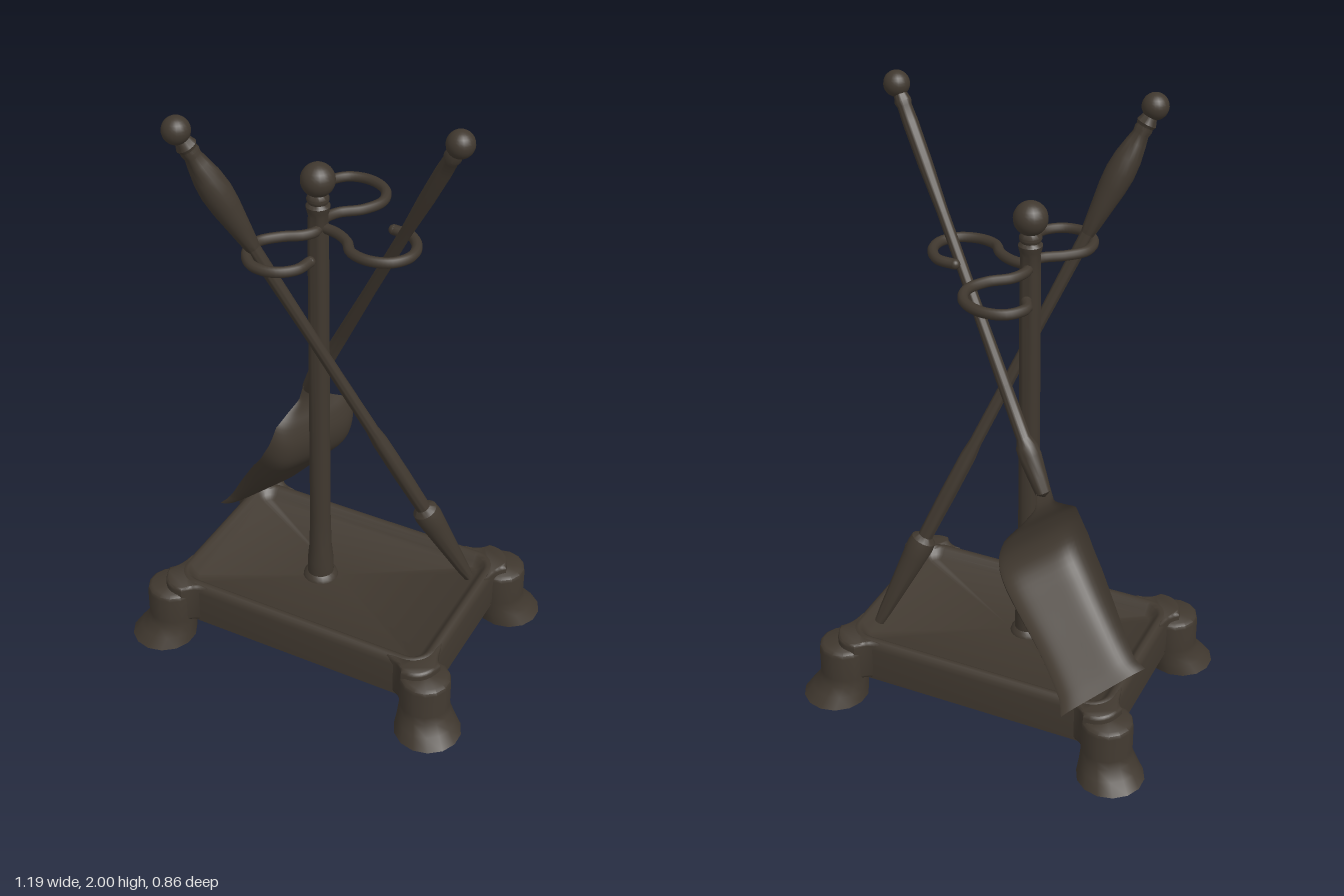
import * as THREE from 'three';
import { toCreasedNormals } from 'three/addons/utils/BufferGeometryUtils.js';

const iron = new THREE.MeshStandardMaterial({ color: 0x40382f, side: THREE.DoubleSide });
iron.name = 'darkIron';

const V = (x, y, z) => new THREE.Vector3(x, y, z);

function part(name, geometry, parent) {
  const mesh = new THREE.Mesh(geometry, iron);
  mesh.name = name;
  parent.add(mesh);
  return mesh;
}

// Turned part: profile is [radius, height] pairs from bottom to top
function turned(profile, sides = 20) {
  const pts = profile.map(([r, y]) => new THREE.Vector2(r, y));
  return toCreasedNormals(new THREE.LatheGeometry(pts, sides), 0.7);
}

// Turned part laid along a line starting at one point and heading to another
function turnedAlong(name, profile, from, to, parent) {
  const mesh = part(name, turned(profile), parent);
  mesh.position.copy(from);
  mesh.quaternion.setFromUnitVectors(V(0, 1, 0), to.clone().sub(from).normalize());
}

function ball(name, radius, at, parent) {
  part(name, new THREE.SphereGeometry(radius, 20, 14), parent).position.copy(at);
}

// Point list around a rounded rectangle shrunk by an inset
function ringPoints(inset) {
  const w = 0.47 - inset, d = 0.306 - inset, r = Math.max(0.09 - inset, 0.02);
  const pts = [];
  [[1, 1], [-1, 1], [-1, -1], [1, -1]].forEach(([sx, sz], q) => {
    for (let i = 0; i <= 8; i++) {
      const a = (q + i / 8) * Math.PI / 2;
      pts.push([sx * (w - r) + r * Math.cos(a), sz * (d - r) + r * Math.sin(a)]);
    }
  });
  pts.push(pts[0]);
  return pts;
}

// Cast tray: one [inset, height] profile swept around the rounded rectangle
function trayGeometry() {
  const profile = [
    [0.306, 0.172], [0.025, 0.172], [0.022, 0.08], [0, 0.08], [0, 0.2], [0.004, 0.215], [0.014, 0.226],
    [0.026, 0.228], [0.036, 0.222], [0.046, 0.204], [0.062, 0.192], [0.306, 0.19],
  ];
  const cols = ringPoints(0).length - 1;
  const geo = new THREE.PlaneGeometry(1, 1, cols, profile.length - 1);
  const p = geo.attributes.position;
  profile.forEach(([inset, y], row) => {
    ringPoints(Math.min(inset, 0.28)).forEach(([x, z], col) => {
      const flat = inset > 0.3 ? 0 : 1;
      p.setXYZ(row * (cols + 1) + col, x * flat, y, z * flat);
    });
  });
  return toCreasedNormals(geo, 0.75);
}

function buildBase(group) {
  const base = new THREE.Group();
  base.name = 'base';
  group.add(base);
  part('tray', trayGeometry(), base);

  for (const sx of [-1, 1]) for (const sz of [-1, 1]) {
    // Hollow foot flares outwards as it nears the ground
    const foot = new THREE.LatheGeometry([
      [0.108, 0], [0.094, 0.035], [0.084, 0.065], [0.082, 0.09],
      [0.082, 0.18], [0.079, 0.192], [0.068, 0.2], [0, 0.2],
    ].map(([r, y]) => new THREE.Vector2(r, y)), 14);
    const p = foot.attributes.position;
    for (let i = 0; i < p.count; i++) {
      const k = 0.025 * Math.max(0, 1 - p.getY(i) / 0.075);
      p.setXYZ(i, p.getX(i) + sx * k, p.getY(i), p.getZ(i) + sz * k);
    }
    part('foot', toCreasedNormals(foot, 0.7), base).position.set(sx * 0.465, 0, sz * 0.297);

    // Shoulder blending the tray corner into the foot
    const shoulder = new THREE.Shape();
    shoulder.moveTo(0.335, 0.296);
    shoulder.quadraticCurveTo(0.385, 0.3, 0.405, 0.338);
    shoulder.quadraticCurveTo(0.475, 0.345, 0.492, 0.262);
    shoulder.quadraticCurveTo(0.462, 0.235, 0.46, 0.175);
    shoulder.quadraticCurveTo(0.455, 0.285, 0.335, 0.296);
    const geo = new THREE.ExtrudeGeometry(shoulder, {
      depth: 0.12, bevelThickness: 0.012, bevelSize: 0.006, bevelSegments: 2, curveSegments: 8,
    });
    geo.rotateX(-Math.PI / 2).translate(0, 0.094, 0);
    part('footShoulder', toCreasedNormals(geo, 0.9), base).scale.set(sx, 1, -sz);
  }
}

function buildStand(group) {
  const stand = new THREE.Group();
  stand.name = 'stand';
  group.add(stand);

  const post = part('post', turned([
    [0, 0.165], [0.03, 0.165], [0.03, 0.18], [0.058, 0.19], [0.055, 0.2], [0.044, 0.21], [0.043, 0.26],
    [0.037, 0.32], [0.034, 0.45], [0.032, 1.5], [0.03, 1.56], [0.034, 1.575], [0.037, 1.59],
    [0.03, 1.6], [0.034, 1.61], [0.034, 1.617], [0.025, 1.63], [0, 1.65],
  ]), stand);
  post.position.set(-0.055, 0, 0.018);
  ball('postFinial', 0.052, V(-0.055, 1.673, 0.018), stand);

  // Three curling hooks as [x, z] paths ending at the post
  const hooks = [
    [[-0.14, -0.2], [-0.157, -0.24], [-0.12, -0.295], [-0.05, -0.307], [0.02, -0.27],
      [0.046, -0.2], [0.015, -0.13], [-0.04, -0.08], [-0.06, -0.03], [-0.055, 0.018]],
    [[0.15, -0.064], [0.21, -0.055], [0.255, 0], [0.26, 0.06], [0.225, 0.11],
      [0.16, 0.128], [0.1, 0.11], [0.06, 0.06], [0.01, 0.03], [-0.055, 0.018]],
    [[0.022, 0.21], [0.01, 0.265], [-0.04, 0.307], [-0.11, 0.305], [-0.16, 0.25],
      [-0.165, 0.18], [-0.12, 0.125], [-0.065, 0.085], [-0.045, 0.05], [-0.055, 0.018]],
  ];
  for (const path of hooks) {
    const curve = new THREE.CatmullRomCurve3(path.map(([x, z]) => V(x, 1.522, z)));
    part('hook', new THREE.TubeGeometry(curve, 48, 0.016, 10), stand);
    ball('hookEnd', 0.016, V(path[0][0], 1.522, path[0][1]), stand);
  }
}

function buildPoker(group) {
  const poker = new THREE.Group();
  poker.name = 'poker';
  group.add(poker);
  const top = V(-0.293, 1.928, 0.372), tip = V(0.4, 0.21, -0.175);
  ball('pokerKnob', 0.041, top, poker);
  turnedAlong('pokerHandle', [
    [0.02, 0.02], [0.025, 0.04], [0.031, 0.055], [0.026, 0.065], [0.028, 0.075], [0.025, 0.09],
    [0.032, 0.12], [0.042, 0.17], [0.046, 0.22], [0.043, 0.27], [0.034, 0.34], [0.025, 0.41], [0.021, 0.43],
  ], top, tip, poker);
  turnedAlong('pokerShaft', [
    [0.021, 0.42], [0.018, 0.8], [0.02, 1.2], [0.025, 1.25], [0.026, 1.4], [0.024, 1.58],
  ], top, tip, poker);
  turnedAlong('pokerTip', [
    [0.024, 1.57], [0.041, 1.585], [0.044, 1.61], [0.041, 1.65], [0.022, 1.88], [0.016, 1.93], [0, 1.935],
  ], top, tip, poker);
}

function buildShovel(group) {
  const shovel = new THREE.Group();
  shovel.name = 'shovel';
  group.add(shovel);
  const top = V(0.44, 1.96, 0.152), neck = V(-0.153, 0.85, -0.108);
  ball('shovelKnob', 0.04, top, shovel);
  turnedAlong('shovelShaft', [
    [0.018, 0.02], [0.022, 0.04], [0.026, 0.055], [0.022, 0.07], [0.024, 0.12], [0.023, 0.25],
    [0.018, 0.4], [0.018, 0.7], [0.021, 0.95], [0.023, 1.12], [0.034, 1.15], [0.036, 1.18],
    [0.03, 1.25], [0.025, 1.3], [0, 1.315],
  ], top, neck, shovel);

  // Pan: sections from lip to neck as centre, then half width and wall height
  const sections = [
    [-0.415, 0.235, -0.238, 0.178, 0.022],
    [-0.38, 0.272, -0.222, 0.158, 0.03],
    [-0.288, 0.383, -0.18, 0.162, 0.052],
    [-0.2, 0.49, -0.143, 0.174, 0.066],
    [-0.143, 0.568, -0.117, 0.178, 0.068],
    [-0.127, 0.64, -0.112, 0.17, 0.052],
    [-0.138, 0.71, -0.115, 0.146, 0.03],
    [-0.155, 0.757, -0.116, 0.085, 0.015],
    [-0.162, 0.795, -0.115, 0.038, 0.008],
    [-0.156, 0.85, -0.11, 0.027, 0.005],
  ];
  const centre = new THREE.CatmullRomCurve3(sections.map((s) => V(s[0], s[1], s[2])));
  const size = new THREE.CatmullRomCurve3(sections.map((s) => V(s[3], s[4], 0)));
  const across = V(-0.425, 0, 0.905), up = V(-0.683, 0.655, -0.321);
  const blade = new THREE.PlaneGeometry(2, 1, 28, 36);
  const p = blade.attributes.position;
  for (let i = 0; i < p.count; i++) {
    const u = Math.sin(p.getX(i) * Math.PI / 2), v = p.getY(i) + 0.5;
    const s = size.getPoint(v);
    const q = centre.getPoint(v)
      .addScaledVector(across, u * s.x)
      .addScaledVector(up, s.y * Math.abs(u) ** 6);
    p.setXYZ(i, q.x, q.y, q.z);
  }
  blade.computeVertexNormals();
  part('shovelPan', blade, shovel);
}

export function createModel() {
  const group = new THREE.Group();
  group.name = 'fireplaceToolSet';
  buildBase(group);
  buildStand(group);
  buildPoker(group);
  buildShovel(group);
  return group;
}
